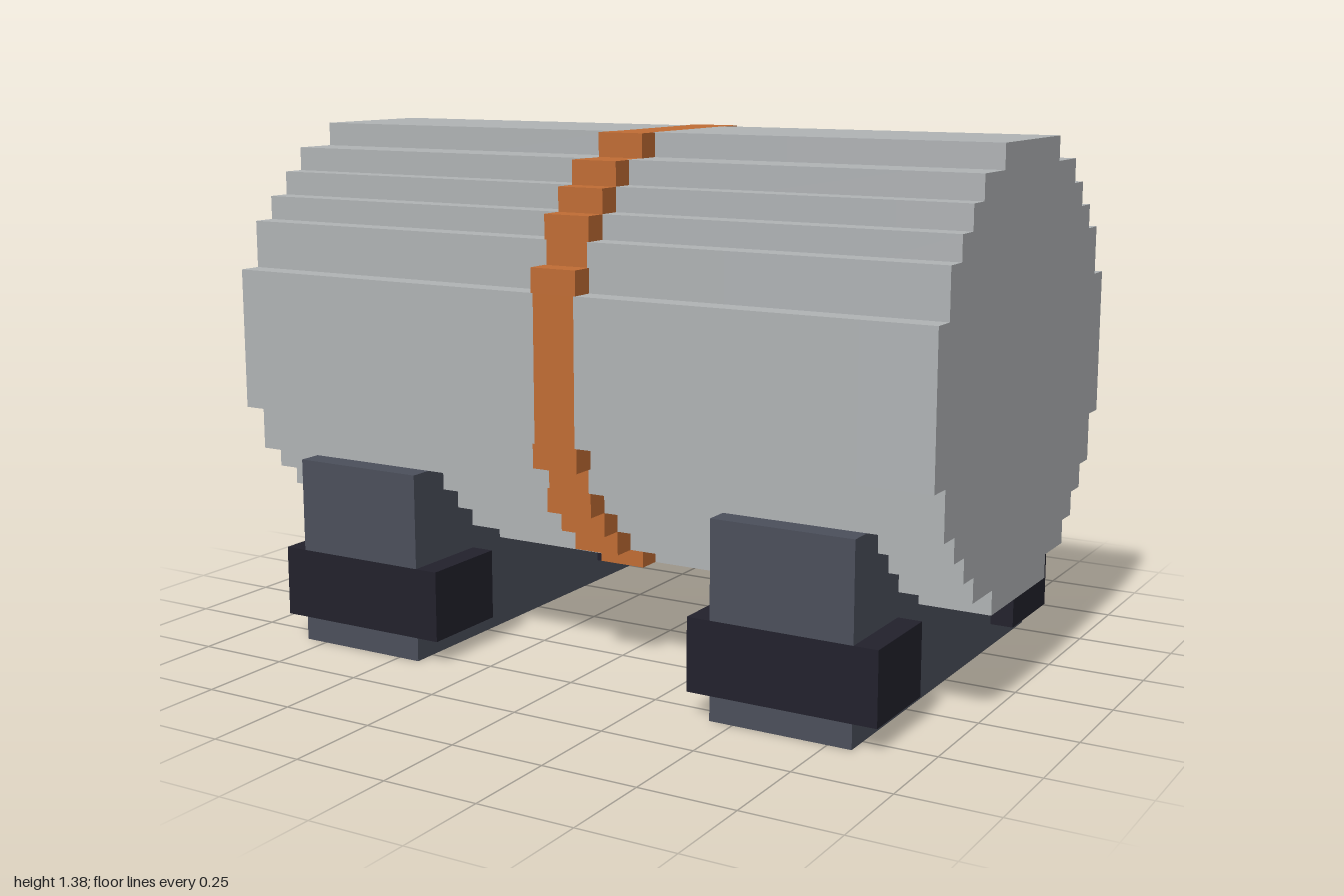
import * as THREE from 'three';

const U = 1 / 16; // one grid step
const make = (name, color) => {
  const m = new THREE.MeshStandardMaterial({ color, side: THREE.DoubleSide });
  m.name = name;
  return m;
};

// Stepped round outline as [z, y], bottom to top along the front, then mirrored down the back
const half = [[3, 4], [3, 5], [5, 5], [5, 6], [6, 6], [6, 7], [7, 7], [7, 8], [8, 8], [8, 10], [9, 10],
  [9, 16], [8, 16], [8, 18], [7, 18], [7, 19], [6, 19], [6, 20], [5, 20], [5, 21], [3, 21], [3, 22]];
const mirrored = (pts) => pts.map(([z, y]) => [-z, y]).reverse();
const outline = [...half, ...mirrored(half)];

// Open skin that sweeps the outline's edges from x0 to x1
function skin(x0, x1, keep = () => true) {
  const pos = [];
  outline.forEach((p, i) => {
    const q = outline[(i + 1) % outline.length];
    if (!keep(p, q)) return;
    const a = [x0, p[1], p[0]], b = [x1, p[1], p[0]], c = [x1, q[1], q[0]], d = [x0, q[1], q[0]];
    pos.push(...a, ...b, ...c, ...a, ...c, ...d);
  });
  const g = new THREE.BufferGeometry();
  g.setAttribute('position', new THREE.Float32BufferAttribute(pos, 3));
  g.computeVertexNormals();
  return g;
}

// Flat wall in the z-y plane at a given x, facing side
function wall(pts, x, side) {
  const shape = new THREE.Shape(pts.map(([z, y]) => new THREE.Vector2(z, y)));
  return new THREE.ShapeGeometry(shape).rotateY(side * Math.PI / 2).translate(x, 0, 0);
}

export function createModel() {
  const grey = make('light grey', 0xb0b3b5);
  const orange = make('copper orange', 0xc06c34);
  const slate = make('slate', 0x4b4f5b);
  const dark = make('dark navy', 0x22212c);

  const model = new THREE.Group();
  model.name = 'barrel on stands';
  model.scale.setScalar(U);
  const add = (parent, name, geometry, material) => {
    const mesh = new THREE.Mesh(geometry, material);
    mesh.name = name;
    parent.add(mesh);
    return mesh;
  };
  const box = (x0, x1, y0, y1, z0, z1) => new THREE.BoxGeometry(x1 - x0, y1 - y0, z1 - z0)
    .translate((x0 + x1) / 2, (y0 + y1) / 2, (z0 + z1) / 2);

  // Barrel: hollow skin, open underneath where the stands join it
  const barrel = new THREE.Group();
  barrel.name = 'barrel';
  model.add(barrel);
  const bandHalf = 0.94;
  const aboveStand = (p, q) => Math.max(p[1], q[1]) > 8;
  for (const s of [-1, 1]) {
    const span = (a, b, keep) =>
      add(barrel, 'barrelSkin', skin(Math.min(s * a, s * b), Math.max(s * a, s * b), keep), grey);
    span(bandHalf, 7);
    span(7, 13, aboveStand);
    span(13, 16);
    add(barrel, 'barrelEnd', wall(outline, s * 16, s), grey);
  }

  // Band around the middle, with a raised block in each step
  const band = new THREE.Group();
  band.name = 'band';
  model.add(band);
  add(band, 'bandStrip', skin(-bandHalf, bandHalf), orange);
  for (const [z, y] of [[3, 21], [5, 20], [6, 19], [7, 18], [8, 16]]) {
    for (const yy of [y, 25 - y]) {
      for (const zz of [z, -z - 1]) {
        add(band, 'bandBlock', box(-1.03, 1.03, yy, yy + 1, zz, zz + 1), orange);
      }
    }
  }

  // Stands: thin-walled cradles open at the bottom, with a bumper at each end
  const cradle = [[3, 4], [3, 5], [5, 5], [5, 6], [6, 6], [6, 7], [7, 7], [7, 8], [9, 8], [9, 0]];
  const cradleOutline = [...mirrored(cradle), ...cradle];
  for (const s of [-1, 1]) {
    const stand = new THREE.Group();
    stand.name = s > 0 ? 'leftStand' : 'rightStand';
    model.add(stand);
    add(stand, 'outerWall', wall(cradleOutline, s * 13, s), slate);
    add(stand, 'innerWall', wall(cradleOutline, s * 7, -s), slate);
    for (const e of [-1, 1]) {
      const turn = e > 0 ? 0 : Math.PI;
      for (const [y0, y1] of [[0, 1], [4, 8]]) {
        add(stand, 'endWall', new THREE.PlaneGeometry(6, y1 - y0).rotateY(turn)
          .translate(s * 10, (y0 + y1) / 2, e * 9), slate);
      }
      add(stand, 'standTop', new THREE.PlaneGeometry(6, 1).rotateX(-Math.PI / 2)
        .translate(s * 10, 8, e * 8.5), slate);
      add(stand, 'bumper', box(s * 10 - 4, s * 10 + 4, 1, 4, e * 7 - 2, e * 7 + 2), dark);
    }
  }
  return model;
}
